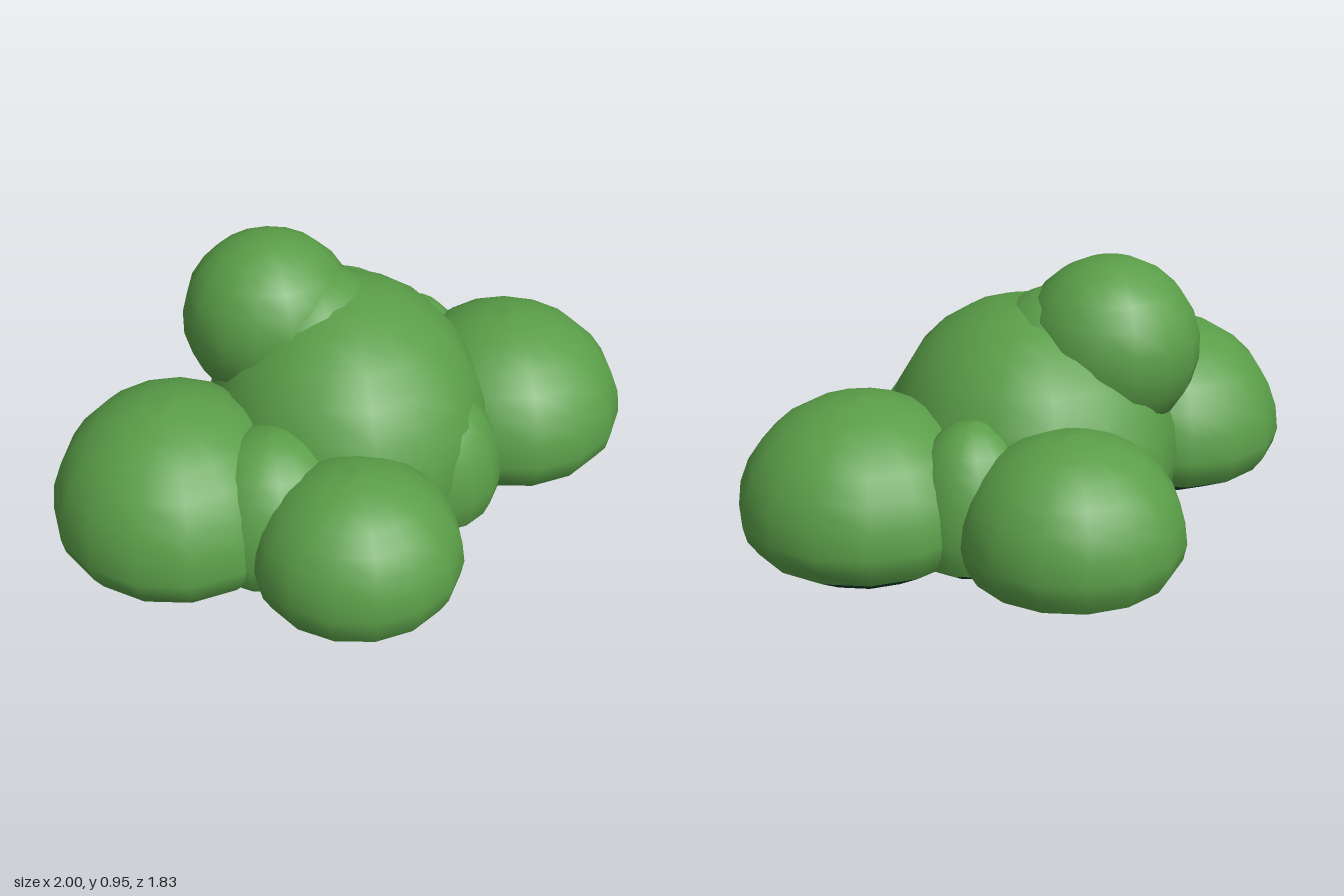
import * as THREE from 'three';

const SIDES = 15;

export function createModel() {
  const group = new THREE.Group();
  group.name = 'bush';
  const leafGreen = new THREE.MeshStandardMaterial({ color: 0x5a9e48 });
  leafGreen.name = 'leaf green';
  const shadeGreen = new THREE.MeshStandardMaterial({ color: 0x0d4030 });
  shadeGreen.name = 'underside green';

  function addPart(parent, name, geometry, material) {
    const mesh = new THREE.Mesh(geometry, material);
    mesh.name = name;
    parent.add(mesh);
  }

  // Rounded clump with a squashed, darker underside
  function addClump(name, x, z, rx, rz, top, bottom = 0.01, waist = 0.21) {
    const clump = new THREE.Group();
    clump.name = name;
    clump.position.set(x, 0, z);
    const edge = 0.105;
    const crown = [new THREE.Vector2(0.88, edge), new THREE.Vector2(0.97, (edge + waist) / 2)];
    const steps = 7;
    for (let i = 0; i <= steps; i++) {
      const a = (i / steps) * Math.PI / 2;
      crown.push(new THREE.Vector2(i === steps ? 0 : Math.cos(a), waist + (top - waist) * Math.sin(a)));
    }
    const base = [
      new THREE.Vector2(0, bottom),
      new THREE.Vector2(0.25, bottom + 0.003),
      new THREE.Vector2(0.58, bottom + (edge - bottom) * 0.3),
      new THREE.Vector2(0.88, edge),
    ];
    addPart(clump, name + 'Crown', new THREE.LatheGeometry(crown, SIDES).scale(rx, 1, rz), leafGreen);
    addPart(clump, name + 'Underside', new THREE.LatheGeometry(base, SIDES).scale(rx, 1, rz), shadeGreen);
    group.add(clump);
  }

  // Central mound and the four clumps around it
  addClump('centralMound', 0, -0.02, 0.48, 0.55, 0.8, 0.05, 0.29);
  addClump('rightClump', -0.6, 0.22, 0.4, 0.435, 0.6, 0.01);
  addClump('leftClump', 0.6, -0.14, 0.4, 0.415, 0.575, 0.0);
  addClump('frontClump', -0.08, 0.585, 0.335, 0.335, 0.515, 0.02);
  addClump('backClump', 0.06, -0.57, 0.355, 0.35, 0.54, 0.025);

  // Fillers that soften the hollows between clumps
  addClump('frontLeftFiller', 0.24, 0.2, 0.24, 0.24, 0.54, 0.05);
  addClump('frontRightFiller', -0.31, 0.37, 0.27, 0.27, 0.54, 0.04);
  addClump('backLeftFiller', 0.31, -0.37, 0.21, 0.21, 0.54, 0.05);

  // Round tuft on top, leaning back and to the right
  const tuft = new THREE.SphereGeometry(0.292, SIDES, 11);
  tuft.translate(-0.23, 0.66, -0.15);
  addPart(group, 'topTuft', tuft, leafGreen);

  // Shoulder joining the tuft to the mound
  const shoulder = new THREE.SphereGeometry(1, SIDES, 11);
  shoulder.scale(0.27, 0.28, 0.28).translate(-0.1, 0.57, -0.08);
  addPart(group, 'tuftShoulder', shoulder, leafGreen);

  return group;
}
